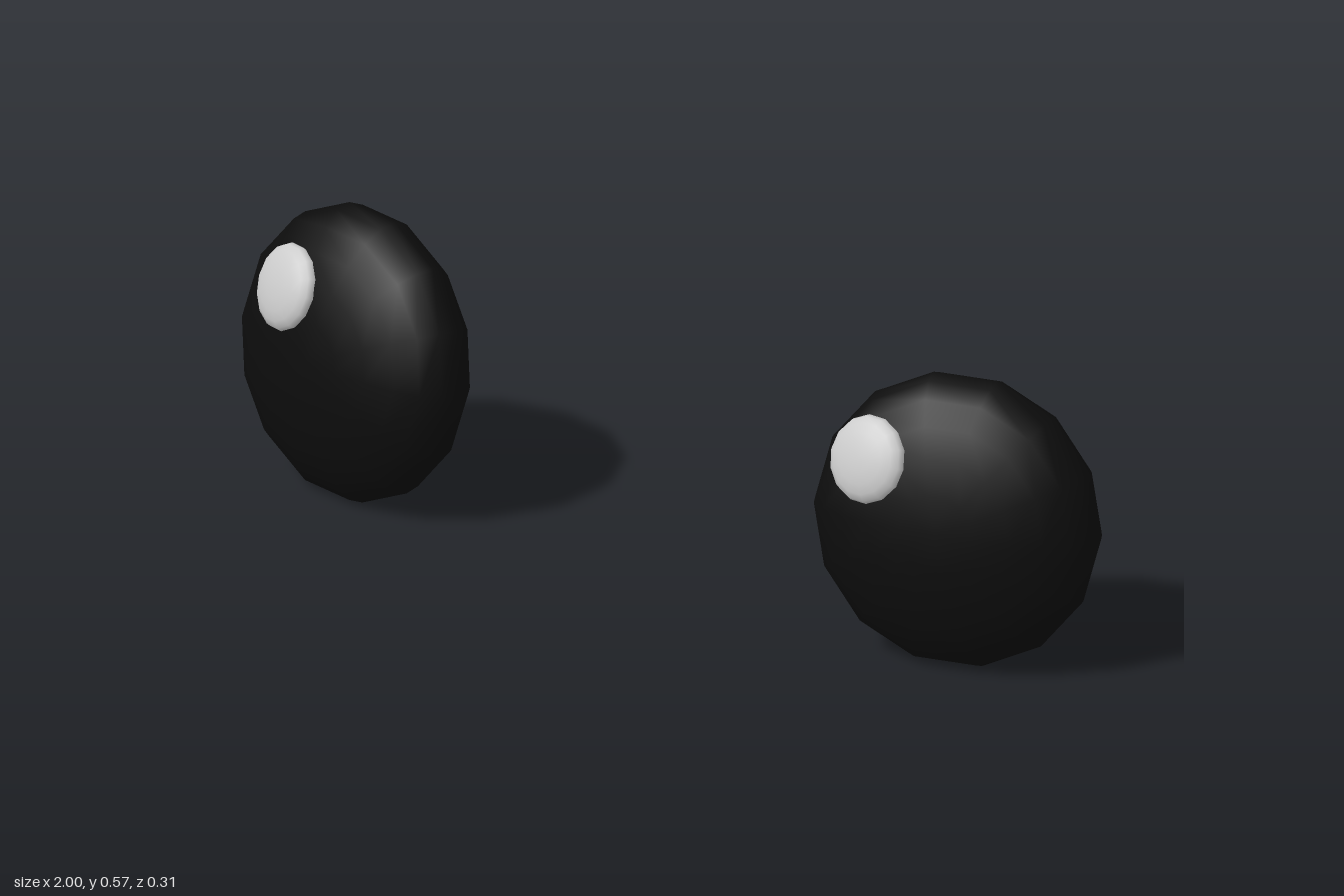
import * as THREE from 'three';

const black = new THREE.MeshStandardMaterial({ color: 0x0c0c0c });
const grey = new THREE.MeshStandardMaterial({ color: 0xcccccc });

// Flattened ball whose thin axis is z
function disc(name, radius, depth, sides, rings, material) {
  const geometry = new THREE.SphereGeometry(1, sides, rings);
  geometry.rotateX(Math.PI / 2);
  geometry.scale(radius, radius, depth);
  const mesh = new THREE.Mesh(geometry, material);
  mesh.name = name;
  return mesh;
}

export function createModel() {
  const model = new THREE.Group();
  model.name = 'eyes';

  // Each glint sits on the same side of its eye, so the two are not mirrored
  const eyes = [
    { side: 1, name: 'left', glint: [0.573, 0.425, 0.113], facing: [-0.51, 2.2, 5.5] },
    { side: -1, name: 'right', glint: [-0.828, 0.425, 0.067], facing: [-2.55, 2.3, 5.6] },
  ];

  for (const { side, name, glint, facing } of eyes) {
    // Eye turned outward and slightly up
    const eye = disc(name + 'Eye', 0.298, 0.135, 14, 12, black);
    eye.position.set(side * 0.71, 0.289, 0);
    eye.rotation.set(-0.15, side * 0.24, 0, 'YXZ');
    model.add(eye);

    // Glint lying flat on the eye surface
    const shine = disc(name + 'Glint', 0.088, 0.033, 14, 10, grey);
    shine.position.set(...glint);
    shine.quaternion.setFromUnitVectors(
      new THREE.Vector3(0, 0, 1),
      new THREE.Vector3(...facing).normalize()
    );
    model.add(shine);
  }
  return model;
}
